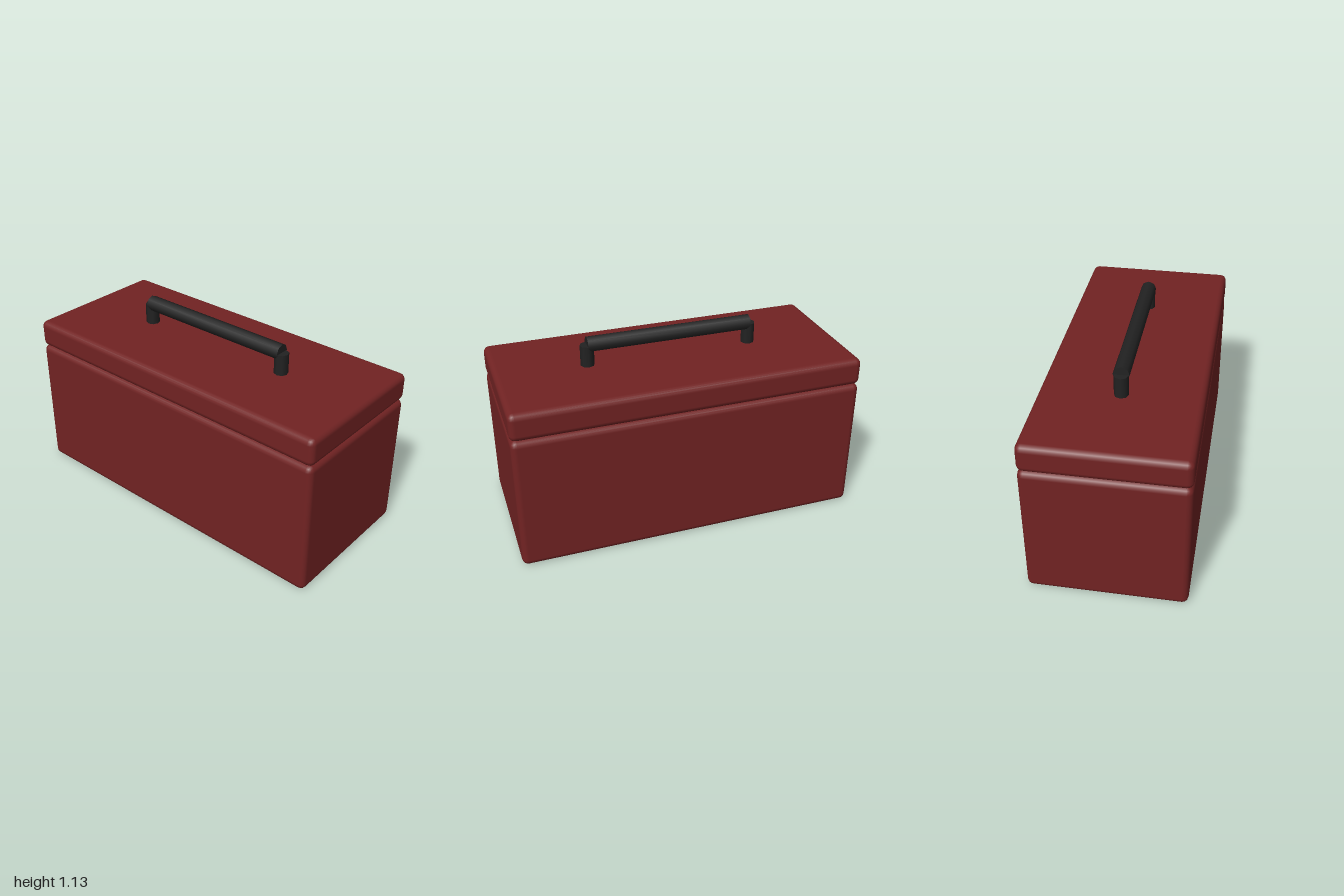
import * as THREE from 'three';
import { RoundedBoxGeometry } from 'three/addons/geometries/RoundedBoxGeometry.js';

const WIDTH = 2, DEPTH = 0.88, BODY_H = 0.8, LID_H = 0.16, EDGE = 0.035;

export function createModel() {
  const red = new THREE.MeshStandardMaterial({ color: 0x722323 });
  red.name = 'dark red paint';
  const black = new THREE.MeshStandardMaterial({ color: 0x222222 });
  black.name = 'black grip';

  const model = new THREE.Group();
  model.name = 'toolbox';

  const add = (parent, name, geometry, material, x, y) => {
    const mesh = new THREE.Mesh(geometry, material);
    mesh.name = name;
    mesh.position.set(x, y, 0);
    parent.add(mesh);
    return mesh;
  };

  // Rounded body with a matching lid resting on it
  const box = (h) => new RoundedBoxGeometry(WIDTH, h, DEPTH, 2, EDGE);
  add(model, 'body', box(BODY_H), red, 0, BODY_H / 2);
  add(model, 'lid', box(LID_H), red, 0, BODY_H + LID_H / 2);

  // Carrying handle: eight-sided bar on two short posts
  const handle = new THREE.Group();
  handle.name = 'handle';
  model.add(handle);
  const bar = add(handle, 'handleBar', new THREE.CylinderGeometry(0.045, 0.045, 0.96, 8), black, 0, 1.083);
  bar.rotation.z = Math.PI / 2;
  for (const side of [-1, 1]) {
    const name = side > 0 ? 'leftPost' : 'rightPost';
    add(handle, name, new THREE.CylinderGeometry(0.04, 0.04, 0.14, 8), black, side * 0.48, 1.01);
  }

  return model;
}
